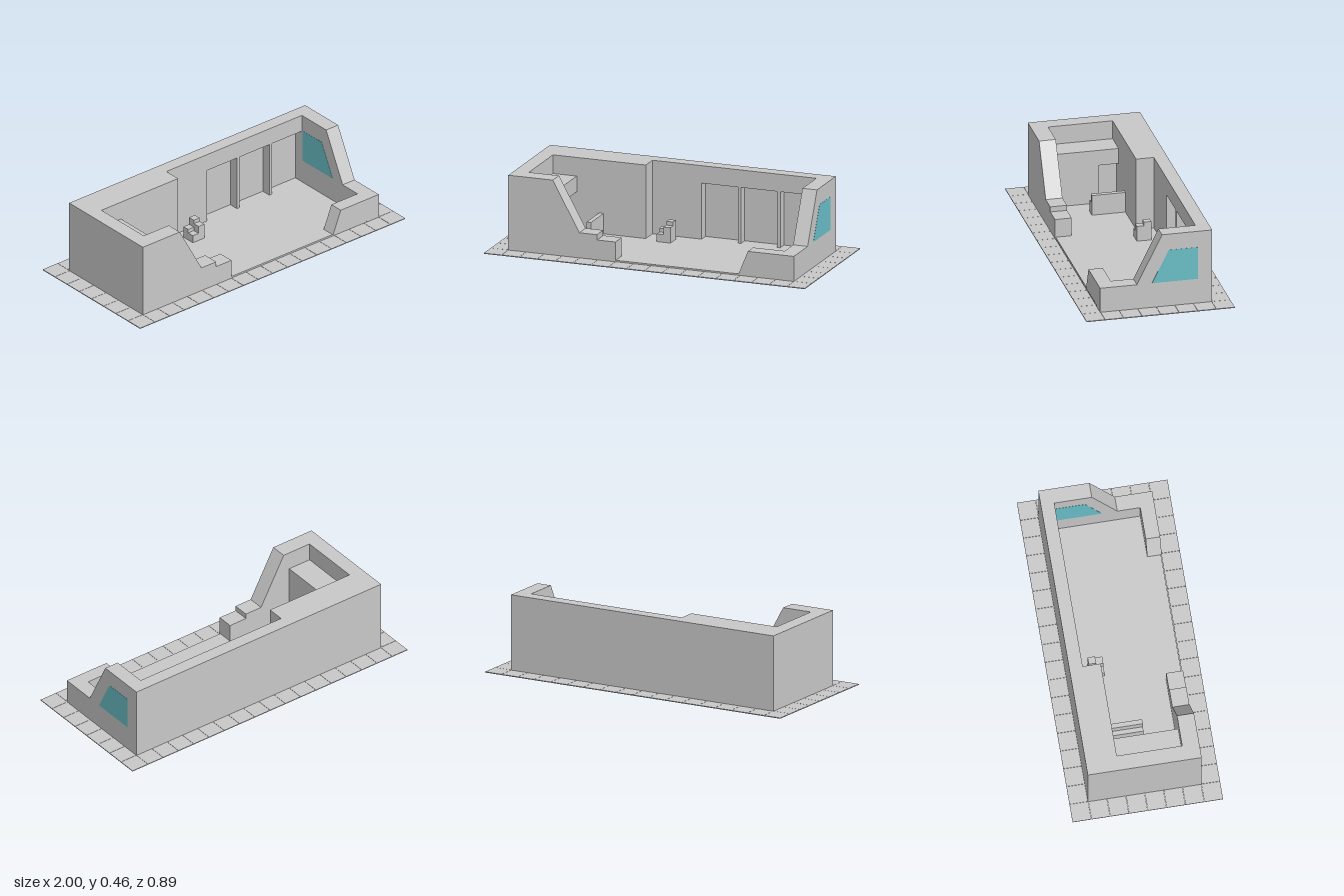
import * as THREE from 'three';

export function createModel() {
  const model = new THREE.Group();
  model.name = 'openRoom';
  const grey = new THREE.MeshStandardMaterial({ color: 0xc8c8c8 });
  grey.name = 'concrete grey';
  const teal = new THREE.MeshStandardMaterial({ color: 0x6abfc8 });
  teal.name = 'window teal';

  function add(name, geometry, material = grey, parent = model) {
    const mesh = new THREE.Mesh(geometry, material);
    mesh.name = name;
    parent.add(mesh);
    return mesh;
  }
  // Box given by its limits on each axis
  function box(name, x0, x1, y0, y1, z0, z1, parent = model) {
    const g = new THREE.BoxGeometry(x1 - x0, y1 - y0, z1 - z0);
    g.translate((x0 + x1) / 2, (y0 + y1) / 2, (z0 + z1) / 2);
    return add(name, g, grey, parent);
  }
  const extrude = (points, depth) => new THREE.ExtrudeGeometry(
    new THREE.Shape(points.map(([a, b]) => new THREE.Vector2(a, b))),
    { depth, bevelEnabled: false });
  // Profile in x and y, extruded from z0 to z1
  const alongZ = (name, points, z0, z1) =>
    add(name, extrude(points, z1 - z0).translate(0, 0, z0));
  // Profile in z and y, extruded from x0 to x1
  const alongX = (name, points, x0, x1, material) =>
    add(name, extrude(points, x1 - x0).rotateY(-Math.PI / 2).translate(x1, 0, 0), material);

  const H = 0.458, LOW = 0.157, BASE = 0.005, FLOOR = 0.013;
  const X = 0.89, Z = 0.335;

  // Pavement: one ring of square tiles
  const pavement = new THREE.Group();
  pavement.name = 'pavement';
  model.add(pavement);
  const nx = 18, nz = 8, sx = 2 / nx, sz = 0.886 / nz, gap = 0.0008;
  for (let i = 0; i < nx; i++) {
    for (let j = 0; j < nz; j++) {
      if (i > 0 && i < nx - 1 && j > 0 && j < nz - 1) continue;
      const x = -1 + i * sx, z = -0.443 + j * sz;
      box('pavingTile', x + (i ? gap : 0), x + sx - (i < nx - 1 ? gap : 0), 0, BASE,
        z + (j ? gap : 0), z + sz - (j < nz - 1 ? gap : 0), pavement);
    }
  }

  // Floor slab
  box('floor', -0.885, 0.885, 0, FLOOR, -0.33, 0.33);

  // Back wall: thin outer skin, thick part on one side, piers around three recesses
  box('backWallSkin', -X, X, BASE, H, -Z, -0.316);
  box('backWallThickPart', -0.80, -0.222, BASE, H, -0.316, -0.15);
  const piers = [[-0.222, BASE]];
  for (const [a, b] of [[0.085, 0.31], [0.33, 0.555], [0.575, 0.80]]) {
    piers.push([a, BASE], [a, 0.352], [b, 0.352]);
    if (b < 0.8) piers.push([b, BASE]);
  }
  piers.push([0.80, H], [-0.222, H]);
  alongZ('backWallRecesses', piers, -0.316, -0.256);

  // Side walls, one cut down by a slope
  box('plainSideWall', -X, -0.80, BASE, H, -0.316, Z);
  alongX('slopedSideWall',
    [[-0.316, BASE], [Z, BASE], [Z, LOW], [0.115, LOW], [-0.035, H], [-0.316, H]], 0.80, X);

  // Front walls with stepped and sloped ends
  alongZ('steppedFrontWall',
    [[-0.80, BASE], [-0.222, BASE], [-0.222, 0.125], [-0.337, 0.125], [-0.337, LOW],
      [-0.447, LOW], [-0.612, H], [-0.80, H]], 0.235, Z);
  alongZ('lowFrontWall',
    [[0.545, FLOOR], [0.80, FLOOR], [0.80, LOW], [0.603, LOW]], 0.25, Z);

  // Window plates on both faces of the sloped side wall
  const pane = [[0.025, 0.158], [-0.25, 0.158], [-0.25, 0.358], [-0.075, 0.358]];
  alongX('windowOutside', pane, X - 0.002, X + 0.001, teal);
  alongX('windowInside', pane, 0.799, 0.802, teal);

  // Inner block with a doorway notch
  box('innerBlock', -0.80, -0.70, FLOOR, 0.345, -0.15, 0.235);
  alongX('innerBlockDoorway',
    [[-0.03, FLOOR], [0.235, FLOOR], [0.235, 0.345], [-0.15, 0.345], [-0.15, 0.25], [-0.03, 0.25]],
    -0.70, -0.652);

  // Bench with a raised back
  alongZ('bench',
    [[-0.54, FLOOR], [-0.485, FLOOR], [-0.485, 0.137], [-0.513, 0.137], [-0.513, 0.085], [-0.54, 0.085]],
    -0.15, 0.05);

  // Stool of four columns at different heights
  const stool = new THREE.Group();
  stool.name = 'steppedStool';
  model.add(stool);
  for (const [x, z, h] of [[-0.14, -0.157, 0.06], [-0.097, -0.157, 0.106],
    [-0.14, -0.2, 0.083], [-0.097, -0.2, 0.129]]) {
    box('stoolColumn', x, x + 0.043, FLOOR, h, z, z + 0.043, stool);
  }
  return model;
}
